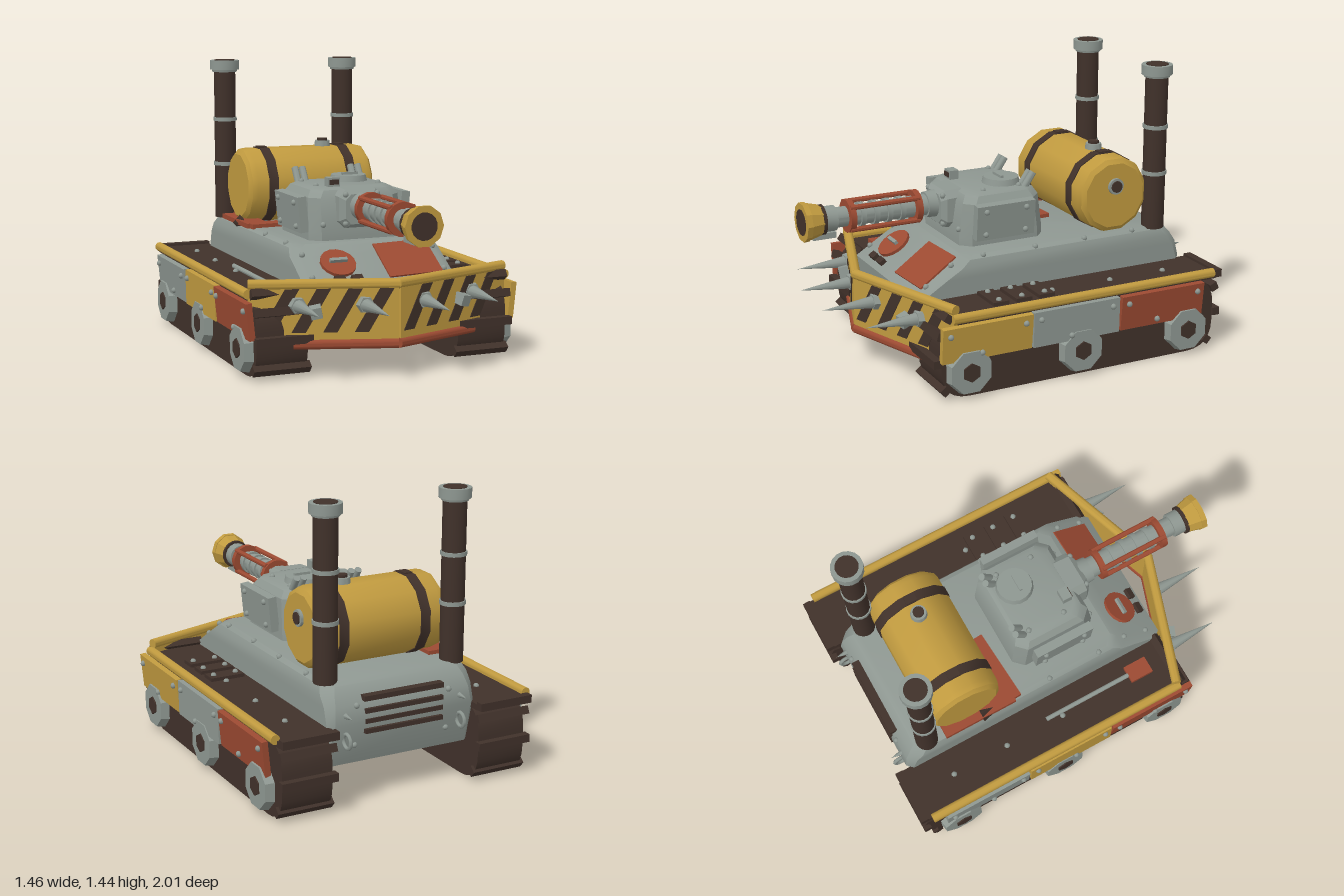
import * as THREE from 'three';
import { toCreasedNormals } from 'three/addons/utils/BufferGeometryUtils.js';

const mat = (name, color) => {
  const m = new THREE.MeshStandardMaterial({ color });
  m.name = name;
  return m;
};

// Octagonal loft: rings of [y, halfWidth, zBack, zFront, corner] from bottom to top
function loft(rings) {
  const pos = [];
  const loops = rings.map(([y, h, b, f, c]) => [
    [-h + c, y, f], [h - c, y, f], [h, y, f - c], [h, y, b + c],
    [h - c, y, b], [-h + c, y, b], [-h, y, b + c], [-h, y, f - c]]);
  const tri = (a, b, c) => pos.push(...a, ...b, ...c);
  for (let r = 0; r < loops.length - 1; r++) {
    for (let i = 0; i < 8; i++) {
      const j = (i + 1) % 8, lo = loops[r], hi = loops[r + 1];
      tri(lo[i], lo[j], hi[j]);
      tri(lo[i], hi[j], hi[i]);
    }
  }
  const top = loops[loops.length - 1], bot = loops[0];
  for (let i = 1; i < 7; i++) {
    tri(top[0], top[i], top[i + 1]);
    tri(bot[0], bot[i + 1], bot[i]);
  }
  const g = new THREE.BufferGeometry();
  g.setAttribute('position', new THREE.Float32BufferAttribute(pos, 3));
  return toCreasedNormals(g, 0.5);
}

export function createModel() {
  const root = new THREE.Group();
  const yellow = mat('mustard paint', 0xc09a3f), gray = mat('gray steel', 0x8e9791);
  const dark = mat('dark iron', 0x40312a), rust = mat('rust red', 0x9c4a32);

  const add = (name, geo, m, x = 0, y = 0, z = 0, rx = 0, ry = 0, rz = 0, parent = root) => {
    const mesh = new THREE.Mesh(geo, m);
    mesh.name = name;
    mesh.position.set(x, y, z);
    mesh.rotation.set(rx, ry, rz);
    parent.add(mesh);
    return mesh;
  };
  const box = (w, h, d) => new THREE.BoxGeometry(w, h, d);
  // Few-sided cylinders are faceted, the others round; a flat side faces front
  const cyl = (r1, r2, h, n = 16) =>
    toCreasedNormals(new THREE.CylinderGeometry(r1, r2, h, n).rotateY(Math.PI / n), 0.6);
  const Q = Math.PI / 2;
  const boltGeo = new THREE.SphereGeometry(0.015, 8, 6);
  const bolt = (x, y, z, parent = root) => add('rivet', boltGeo, gray, x, y, z, 0, 0, 0, parent);

  // Hull
  add('hull', loft([[0.2, 0.4, -0.87, 0.54, 0.02], [0.42, 0.4, -0.935, 0.57, 0.03],
    [0.5, 0.4, -0.92, 0.45, 0.04], [0.55, 0.4, -0.89, 0.375, 0.05],
    [0.585, 0.385, -0.86, 0.327, 0.05], [0.6, 0.36, -0.83, 0.3, 0.05]]), gray);
  const slope = 0.59;
  add('frontPatch', box(0.29, 0.014, 0.235), rust, 0.185, 0.518, 0.427, slope, 0.04, 0);
  add('driverHatch', cyl(0.09, 0.09, 0.03), rust, -0.19, 0.515, 0.43, slope);
  add('hatchHandle', box(0.09, 0.018, 0.018), gray, -0.19, 0.537, 0.44, slope);
  for (const x of [-0.22, -0.13]) add('hatchHinge', box(0.055, 0.03, 0.035), dark, x, 0.455, 0.53, slope);
  add('deckPatch', box(0.38, 0.025, 0.09), rust, -0.19, 0.607, -0.318, 0, 0.06, 0);
  add('deckPatchSide', box(0.12, 0.025, 0.4), rust, -0.335, 0.607, -0.5);
  add('deckTear', new THREE.ConeGeometry(0.04, 0.14, 4), dark, -0.37, 0.6, -0.42, Q);
  for (const s of [-1, 1]) {
    for (const z of [-0.65, -0.37, -0.09, 0.2]) bolt(s * 0.37, 0.595, z);
    for (const y of [0.47, 0.56]) bolt(s * 0.35, y, y > 0.5 ? 0.365 : 0.5);
  }

  // Rear grille, hooks and pins
  add('rearVentTop', box(0.43, 0.025, 0.04), dark, 0, 0.53, -0.915);
  for (const y of [0.47, 0.42, 0.37]) add('rearVent', box(0.42, 0.022, 0.03), dark, 0, y, -0.925);
  for (const s of [-1, 1]) {
    add('towRing', new THREE.TorusGeometry(0.035, 0.01, 6, 12), gray, s * 0.31, 0.34, -0.94, 0, Q);
    add('rearPin', new THREE.ConeGeometry(0.015, 0.06, 6), gray, s * 0.31, 0.46, -0.955, -Q);
    for (const y of [0.3, 0.5]) bolt(s * 0.25, y, y > 0.4 ? -0.92 : -0.9);
  }

  // Tracks, fenders, wheels and skirts
  const trackShape = new THREE.Shape();
  const zf = 0.565, zb = -0.965, y0 = 0.005, y1 = 0.39, k = 0.15;
  trackShape.moveTo(zb + k, y0);
  trackShape.lineTo(zf - k, y0);
  trackShape.quadraticCurveTo(zf, y0, zf, y0 + k);
  trackShape.lineTo(zf, y1 - k);
  trackShape.quadraticCurveTo(zf, y1, zf - k, y1);
  trackShape.lineTo(zb + k, y1);
  trackShape.quadraticCurveTo(zb, y1, zb, y1 - k);
  trackShape.lineTo(zb, y0 + k);
  trackShape.quadraticCurveTo(zb, y0, zb + k, y0);
  const trackGeo = toCreasedNormals(new THREE.ExtrudeGeometry(trackShape,
    { depth: 0.26, bevelEnabled: false, curveSegments: 6 }).translate(0, 0, -0.13).rotateY(-Q), 0.6);
  const cleats = [[0.55, 0.055, 0.7], [0.59, 0.2, 0], [0.57, 0.335, -0.3], [0.53, 0.42, -0.6],
    [-0.93, 0.055, -0.7], [-0.98, 0.2, 0], [-0.965, 0.335, 0.4], [-0.985, 0.405, 0]];
  const skirts = { 1: [yellow, gray, rust], '-1': [rust, yellow, gray] };
  for (const s of [-1, 1]) {
    add('track', trackGeo, dark, s * 0.53, 0, 0);
    for (const [z, y, a] of cleats) add('trackCleat', box(0.29, 0.04, 0.04), dark, s * 0.53, y, z, a);
    add('fender', box(0.29, 0.03, 1.48), dark, s * 0.53, 0.397, -0.23);
    add('sideRail', cyl(0.024, 0.024, 1.46, 12), yellow, s * 0.682, 0.418, -0.215, Q);
    [0.34, -0.145, -0.635].forEach((z, i) => {
      const panel = new THREE.Group();
      panel.name = 'skirtPanel';
      panel.position.set(s * 0.692, 0.297, z);
      panel.rotation.z = -s * (i === 1 ? 0.02 : 0.1);
      root.add(panel);
      add('skirtPlate', box(0.03, 0.18, 0.478), skirts[s][i], 0, 0, 0, 0, 0, 0, panel);
      for (const dz of [-0.2, 0.03, 0.2]) bolt(s * 0.018, dz === 0.03 ? -0.06 : 0.05, dz, panel);
    });
    for (const z of [0.43, -0.18, -0.79]) {
      add('wheel', cyl(0.112, 0.122, 0.045, 8), gray, s * 0.688, 0.145, z, 0, 0, -s * Q);
      add('wheelHub', cyl(0.048, 0.053, 0.03, 6), dark, s * 0.702, 0.145, z, 0, 0, -s * Q);
    }
    for (const z of [-0.74, -0.43, -0.1]) bolt(s * 0.53, 0.412, z);
  }
  for (const z of [-0.035, 0.09, 0.215]) {
    add('fenderVent', box(0.18, 0.02, 0.085), dark, 0.51, 0.42, z);
    for (const x of [0.45, 0.57]) bolt(x, 0.43, z);
  }
  add('toolRod', cyl(0.012, 0.012, 0.49, 10), gray, -0.51, 0.425, 0.06, Q);
  add('toolHead', box(0.09, 0.03, 0.125), rust, -0.51, 0.42, 0.365);

  // V-shaped front ram with hazard stripes and spikes
  const stripe = new THREE.Shape([[0, 0], [0.068, 0], [0.188, 0.21], [0.12, 0.21]].map(p => new THREE.Vector2(...p)));
  const stripeGeo = new THREE.ExtrudeGeometry(stripe, { depth: 0.006, bevelEnabled: false });
  for (const s of [-1, 1]) {
    const ram = new THREE.Group();
    ram.name = 'ram';
    ram.position.set(0, 0, 0.725);
    ram.rotation.y = s * 0.326;
    root.add(ram);
    add('ramPlate', box(0.715, 0.28, 0.03), yellow, s * 0.358, 0.335, 0, 0, 0, 0, ram);
    add('ramTopRail', cyl(0.025, 0.025, 0.72, 12), yellow, s * 0.355, 0.46, 0, 0, 0, Q, ram);
    add('ramBottomBar', cyl(0.025, 0.025, 0.5, 12), rust, s * 0.25, 0.172, 0.004, 0, 0, Q, ram);
    const starts = s > 0 ? [0.02, 0.17, 0.32, 0.47] : [-0.66, -0.51, -0.36, -0.21];
    for (const u of starts) add('hazardStripe', stripeGeo, dark, u, 0.23, 0.013, 0, 0, 0, ram);
    add('ramBolt', box(0.055, 0.055, 0.06), gray, s * 0.395, 0.335, 0.035, 0.2, 0, -s * 0.2, ram);
    for (const [x, z] of [[0.155, 0.69], [0.46, 0.59]]) {
      add('spikeBase', cyl(0.04, 0.045, 0.03, 6), gray, s * x, 0.362, z, Q);
      add('spike', new THREE.ConeGeometry(0.033, 0.27, 10), gray, s * x, 0.36, z + 0.14, Q);
    }
  }

  // Turret with side plates
  add('turret', loft([[0.595, 0.25, -0.215, 0.25, 0.05], [0.64, 0.25, -0.215, 0.25, 0.05],
    [0.81, 0.245, -0.195, 0.225, 0.05], [0.845, 0.22, -0.175, 0.2, 0.05], [0.857, 0.195, -0.155, 0.175, 0.05]]), gray);
  for (const s of [-1, 1]) {
    const plate = new THREE.Group();
    plate.name = 'turretPlate';
    plate.position.set(s * 0.276, 0.728, 0.035);
    plate.rotation.z = -s * 0.1;
    root.add(plate);
    add('turretPlateArmor', box(0.045, 0.18, 0.32), gray, 0, 0, 0, 0, 0, 0, plate);
    for (const y of [-0.06, 0.06]) for (const z of [-0.11, 0.11]) bolt(s * 0.024, y, z, plate);
    for (const z of [-0.1, 0.1]) bolt(s * 0.17, 0.857, z);
    bolt(s * 0.19, 0.68, 0.245);
    // Angled smoke tubes
    for (const x of [0.135, 0.175]) add('smokeTube', cyl(0.018, 0.018, 0.085, 12), gray, s * x, 0.882, -0.155, -0.6);
  }
  add('turretHatch', cyl(0.09, 0.1, 0.04), gray, 0.07, 0.868, -0.05);
  add('hatchGrip', box(0.09, 0.015, 0.015), gray, 0.07, 0.893, -0.035);
  add('periscope', box(0.065, 0.055, 0.05), gray, -0.1, 0.875, 0.145);
  add('periscopeGlass', box(0.05, 0.025, 0.006), dark, -0.1, 0.88, 0.172);

  // Gun
  const gy = 0.77;
  const along = (name, r1, r2, z0, z1, m, n = 16) =>
    add(name, cyl(r1, r2, z1 - z0, n), m, 0, gy, (z0 + z1) / 2, Q);
  add('mantlet', loft([[0.18, 0.118, -0.1, 0.1, 0.035], [0.27, 0.115, -0.095, 0.095, 0.035],
    [0.295, 0.09, -0.075, 0.075, 0.03]]).rotateX(Q), gray, 0, 0.757, 0);
  along('barrelSleeve', 0.065, 0.07, 0.28, 0.345, gray);
  along('barrel', 0.05, 0.055, 0.28, 0.9, gray);
  for (const z of [0.47, 0.54, 0.61, 0.68]) along('barrelRing', 0.062, 0.062, z, z + 0.025, gray);
  for (const z of [0.385, 0.74]) along('cageRing', 0.084, 0.084, z, z + 0.03, rust);
  for (let i = 0; i < 4; i++) {
    const a = Math.PI / 4 + i * Q;
    add('cageRod', cyl(0.013, 0.013, 0.37, 8), rust, Math.cos(a) * 0.08, gy + Math.sin(a) * 0.08, 0.58, Q);
  }
  along('muzzleCollar', 0.064, 0.064, 0.83, 0.895, gray);
  add('muzzleBlock', box(0.05, 0.03, 0.12), gray, 0, 0.69, 0.89);
  along('muzzleBand', 0.076, 0.076, 0.89, 0.908, dark);
  along('muzzle', 0.094, 0.076, 0.905, 0.975, yellow, 10);
  along('muzzleLip', 0.099, 0.097, 0.972, 1.0, yellow, 10);
  along('muzzleBore', 0.066, 0.066, 0.99, 1.002, dark);
  for (const x of [-0.085, 0.085]) for (const y of [0.685, 0.83]) bolt(x, y, 0.282);

  // Boiler tank
  const ty = 0.79, tz = -0.555;
  const tankProfile = [[0, -0.355], [0.17, -0.355], [0.193, -0.338], [0.2, -0.31],
    [0.2, 0.31], [0.193, 0.338], [0.17, 0.355], [0, 0.355]].map(p => new THREE.Vector2(...p));
  add('boilerTank', toCreasedNormals(new THREE.LatheGeometry(tankProfile, 12)
    .rotateY(Math.PI / 12).rotateZ(-Q), 0.6), yellow, 0, ty, tz);
  for (const x of [-0.222, 0.222]) {
    add('tankStrap', cyl(0.205, 0.205, 0.052, 12), dark, x, ty, tz, 0, 0, -Q);
    add('strapLug', box(0.045, 0.025, 0.06), dark, x, 0.982, tz);
  }
  add('fillerNeck', cyl(0.04, 0.045, 0.045), gray, 0.13, 0.99, tz);
  add('fillerCap', cyl(0.028, 0.028, 0.02), dark, 0.13, 1.015, tz);
  add('endValve', cyl(0.042, 0.042, 0.02), gray, 0.36, 0.84, tz, 0, 0, -Q);
  add('endValveCap', cyl(0.03, 0.03, 0.025), dark, 0.365, 0.84, tz, 0, 0, -Q);

  // Exhaust stacks
  for (const s of [-1, 1]) {
    const x = s * 0.345, z = -0.79;
    add('exhaustStack', cyl(0.058, 0.058, 0.84), dark, x, 1.01, z);
    for (const y of [0.885, 1.127]) add('exhaustRing', cyl(0.064, 0.064, 0.02), gray, x, y, z);
    add('exhaustCap', cyl(0.079, 0.079, 0.05), gray, x, 1.42, z);
    add('exhaustCapBase', cyl(0.07, 0.066, 0.015), gray, x, 1.39, z);
    add('exhaustMouth', cyl(0.057, 0.057, 0.01), dark, x, 1.443, z);
  }
  return root;
}
